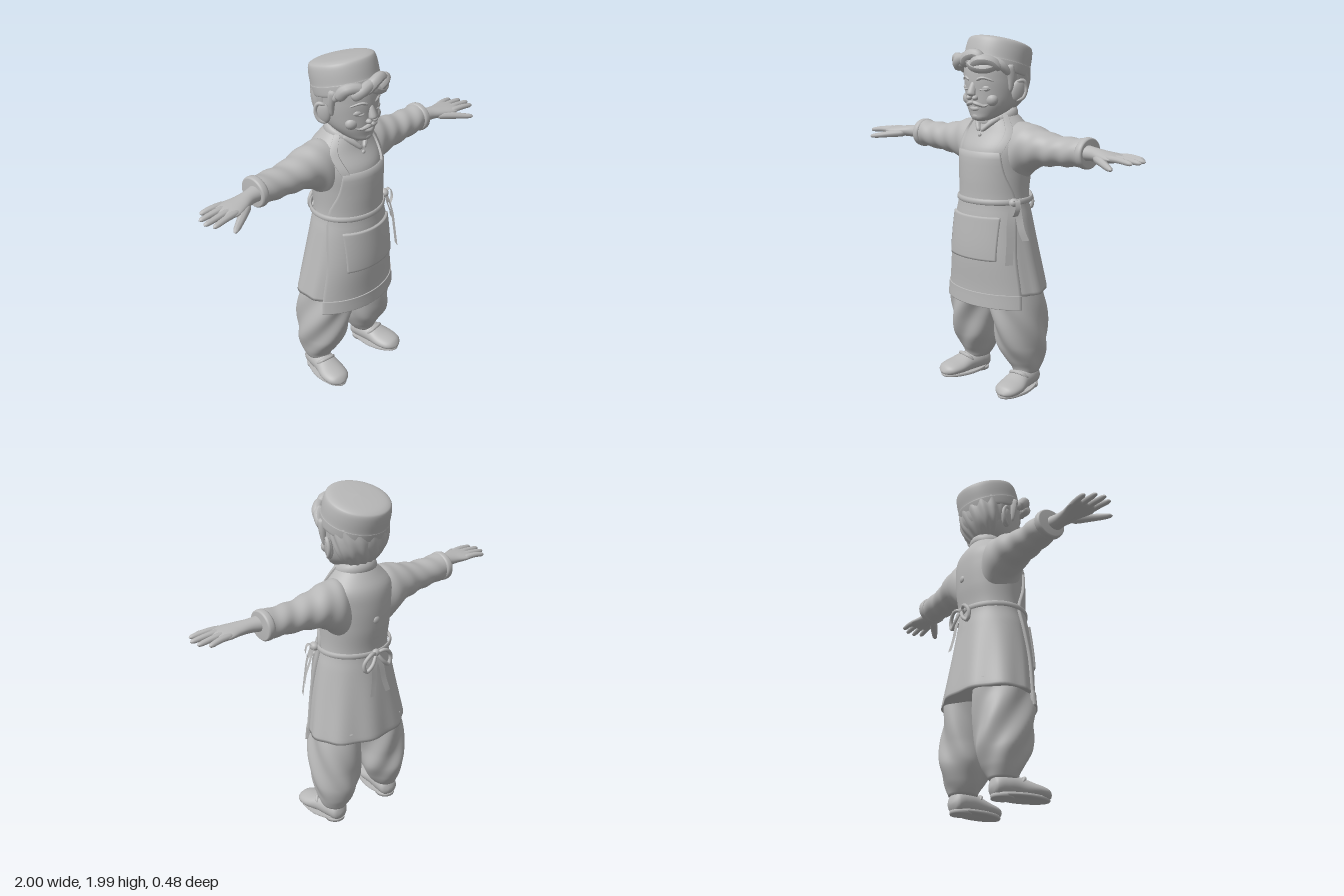
import * as THREE from 'three';

const clay = new THREE.MeshStandardMaterial({ color: 0xb8b8b8, side: THREE.DoubleSide });
clay.name = 'clay grey';
const V = (x, y, z) => new THREE.Vector3(x, y, z);

// Smooth interpolation of section rows [t, c1, c2, r1, r2] at t
function sample(rows, t) {
  let i = 0;
  while (i < rows.length - 2 && t > rows[i + 1][0]) i++;
  const a = rows[i], b = rows[i + 1], h = b[0] - a[0], s = (t - a[0]) / h;
  const p = rows[i - 1] || a, q = rows[i + 2] || b;
  return a.map((v, k) => {
    const m0 = (b[k] - p[k]) / (b[0] - p[0]) * h, m1 = (q[k] - v) / (q[0] - a[0]) * h;
    return (1 + 2 * s) * (1 - s) ** 2 * v + s * (1 - s) ** 2 * m0 + s * s * (3 - 2 * s) * b[k] + s * s * (s - 1) * m1;
  });
}

// Indexed grid surface from a point function f(i, j)
function grid(n, m, f, wrap = false) {
  const pos = [], idx = [], w = wrap ? m : m + 1;
  for (let i = 0; i <= n; i++) for (let j = 0; j < w; j++) pos.push(...f(i, j).toArray());
  for (let i = 0; i < n; i++) for (let j = 0; j < m; j++) {
    const a = i * w + j, b = i * w + (j + 1) % w;
    idx.push(a, b, a + w, b, b + w, a + w);
  }
  const g = new THREE.BufferGeometry();
  g.setAttribute('position', new THREE.Float32BufferAttribute(pos, 3));
  g.setIndex(idx);
  g.computeVertexNormals();
  return g;
}

const place = { y: (u, t, v) => V(u, t, v), x: (u, t, v) => V(t, v, u), z: (u, t, v) => V(v, u, t) };

// Closed loft of elliptical sections along an axis, with optional surface ripple
function loft(rows, axis = 'y', bump = () => 0, n = 40, seg = 48) {
  const t0 = rows[0][0], t1 = rows[rows.length - 1][0];
  return grid(n + 2, seg, (i, j) => {
    const t = t0 + (t1 - t0) * Math.min(n, Math.max(0, i - 1)) / n, a = j / seg * Math.PI * 2;
    const [, c1, c2, r1, r2] = sample(rows, t);
    const k = i === 0 || i === n + 2 ? 0 : 1, b = bump(a, t);
    return place[axis](c1 + k * (r1 + b) * Math.sin(a), t, c2 + k * (r2 + b) * Math.cos(a));
  }, true);
}

// Rounded tapering strand through points
function strand(pts, r0, r1, flat = 1) {
  const c = new THREE.CatmullRomCurve3(pts.map(p => V(...p))), n = 20, m = 10;
  const g = new THREE.TubeGeometry(c, n, 1, m), p = g.attributes.position, v = V(0, 0, 0);
  for (let i = 0; i <= n; i++) {
    const t = i / n, o = c.getPointAt(t), r = (r0 + (r1 - r0) * t) * Math.sqrt(Math.max(0, 1 - Math.abs(2 * t - 1) ** 7));
    for (let j = 0; j <= m; j++) {
      v.fromBufferAttribute(p, i * (m + 1) + j).sub(o).multiplyScalar(r);
      v.y *= flat;
      v.add(o);
      p.setXYZ(i * (m + 1) + j, v.x, v.y, v.z);
    }
  }
  g.computeVertexNormals();
  return g;
}

// Flat ribbon through points, widened along one direction
function ribbon(pts, dir, w) {
  const c = new THREE.CatmullRomCurve3(pts.map(p => V(...p))), d = V(...dir).normalize();
  return grid(18, 1, (i, j) => c.getPointAt(i / 18).addScaledVector(d, (j - 0.5) * w));
}

const ball = (x, y, z, rx, ry, rz) => new THREE.SphereGeometry(1, 20, 14).scale(rx, ry, rz).translate(x, y, z);

const torso = [
  [0.50, 0, -0.02, 0.315, 0.222], [0.60, 0, -0.02, 0.302, 0.22], [0.80, 0, 0, 0.262, 0.21],
  [1.00, 0, 0.01, 0.222, 0.188], [1.10, 0, 0.01, 0.2, 0.176], [1.25, 0, 0, 0.203, 0.186],
  [1.38, 0, -0.008, 0.212, 0.182], [1.47, 0, -0.028, 0.2, 0.148], [1.54, 0, -0.02, 0.135, 0.112],
  [1.58, 0, -0.015, 0.09, 0.088]];

// Point on the tunic surface pushed out by off
function onBody(y, a, off) {
  const [, cx, cz, rx, rz] = sample(torso, y);
  return V(cx + (rx + off) * Math.sin(a), y, cz + (rz + off) * Math.cos(a));
}

// Cloth panel lying on the tunic, with its rim tucked in
function panel(y0, y1, left, right, off, tuck) {
  const n = 24, m = 32;
  return grid(n + 2, m + 2, (i, j) => {
    const s = Math.min(n, Math.max(0, i - 1)) / n, u = Math.min(m, Math.max(0, j - 1)) / m;
    const y = y0 + (y1 - y0) * s, l = left(y), r = right(y);
    const rim = i === 0 || j === 0 || i === n + 2 || j === m + 2;
    return onBody(y, l + (r - l) * u, rim ? tuck : off);
  });
}

export function createModel() {
  const root = new THREE.Group();
  root.name = 'cook';
  const add = (name, g) => {
    const m = new THREE.Mesh(g, clay);
    m.name = name;
    root.add(m);
  };
  const pair = (name, g) => {
    add(name + 'Left', g);
    const f = g.clone().scale(-1, 1, 1), ix = f.index.array;
    for (let i = 0; i < ix.length; i += 3) [ix[i], ix[i + 1]] = [ix[i + 1], ix[i]];
    add(name + 'Right', f);
  };

  // Tunic with soft skirt folds
  const skirt = (a, y) => y < 1.05 ? 0.007 * (1.05 - y) / 0.5 * Math.sin(9 * a) * (Math.cos(a) < 0.3 ? 1 : 0.2) : 0;
  add('tunic', loft([[0.58, 0, -0.02, 0.305, 0.22], ...torso.slice(1)], 'y', skirt, 60, 72));
  add('backButton', ball(0, 1.3, -0.186, 0.022, 0.022, 0.012));

  // Apron, hem, pocket and straps
  const edge = [[0.5, 1.05], [0.8, 1.12], [1.08, 1.3], [1.14, 1.25], [1.25, 0.95], [1.38, 0.76]];
  const wide = y => sample(edge, y)[1];
  add('apron', panel(0.51, 1.37, y => -wide(y), wide, 0.014, -0.006));
  add('apronHem', panel(0.51, 0.59, y => -wide(y), wide, 0.019, 0.004));
  const pocketEdge = y => Math.asin(0.16 / sample(torso, y)[3]);
  add('pocket', panel(0.78, 1.02, y => -pocketEdge(y), pocketEdge, 0.026, 0.01));
  pair('strap', panel(1.35, 1.565, y => 0.56 + (y - 1.35) * 1.6, y => 0.78 + (y - 1.35) * 1.8, 0.012, -0.004));

  // Waist tie with side and back bows
  add('waistTie', grid(8, 64, (i, j) => {
    const b = i / 8 * Math.PI * 2;
    return onBody(1.1 + 0.016 * Math.sin(b), j / 64 * Math.PI * 2, 0.016 - 0.008 * Math.cos(b));
  }, true));
  add('sideKnot', ball(0.215, 1.1, 0.09, 0.025, 0.025, 0.03));
  add('sideTailLong', ribbon([[0.225, 1.1, 0.1], [0.235, 1.0, 0.135], [0.245, 0.88, 0.15], [0.25, 0.77, 0.165]], [0.5, 0, -1], 0.045));
  add('sideTailShort', ribbon([[0.23, 1.1, 0.08], [0.25, 1.02, 0.085], [0.275, 0.95, 0.09], [0.295, 0.9, 0.08]], [0.5, 0, -1], 0.04));
  add('sideLoop', ribbon([[0.22, 1.1, 0.09], [0.25, 1.12, 0.1], [0.262, 1.07, 0.11], [0.24, 1.03, 0.11], [0.22, 1.09, 0.1]], [0.4, 0, -1], 0.03));
  add('backKnot', ball(0, 1.1, -0.185, 0.025, 0.022, 0.02));
  pair('backLoop', strand([[0, 1.1, -0.19], [0.05, 1.11, -0.205], [0.095, 1.06, -0.2], [0.08, 1.01, -0.2], [0.04, 1.04, -0.205], [0, 1.1, -0.19]], 0.011, 0.011));
  pair('backTail', ribbon([[0, 1.1, -0.19], [0.025, 1.02, -0.205], [0.035, 0.94, -0.215], [0.055, 0.86, -0.228]], [1, 0, 0], 0.035));

  // Sleeves, cuffs, hands
  pair('sleeve', loft([
    [0.10, -0.02, 1.34, 0.12, 0.165], [0.17, -0.03, 1.362, 0.125, 0.165], [0.23, -0.035, 1.388, 0.118, 0.13],
    [0.30, -0.035, 1.395, 0.108, 0.104], [0.42, -0.03, 1.392, 0.092, 0.082], [0.62, -0.028, 1.4, 0.082, 0.075]],
    'x', (a, x) => 0.003 * Math.sin(2 * a + x * 55)));
  pair('cuff', loft([[0.595, -0.028, 1.4, 0.08, 0.074], [0.605, -0.028, 1.4, 0.089, 0.082],
    [0.632, -0.028, 1.4, 0.088, 0.081], [0.64, -0.028, 1.4, 0.08, 0.073]], 'x', undefined, 12));
  pair('palm', loft([[0.60, -0.012, 1.405, 0.055, 0.045], [0.68, 0, 1.405, 0.044, 0.036], [0.75, 0.014, 1.403, 0.058, 0.031],
    [0.82, 0.018, 1.402, 0.076, 0.024], [0.865, 0.018, 1.402, 0.07, 0.016], [0.885, 0.018, 1.402, 0.05, 0.008]], 'x'));
  [[0.95, -0.055], [0.99, -0.008], [1.0, 0.043], [0.98, 0.09]].forEach(([x, z], i) => {
    const z0 = -0.034 + i * 0.034;
    pair('finger' + (i + 1), strand([[0.8, 1.403, z0], [0.88, 1.406, (z0 + z) / 2], [x, 1.396, z]], 0.021, 0.015, 0.85));
  });
  pair('thumb', strand([[0.72, 1.395, 0.03], [0.8, 1.385, 0.09], [0.86, 1.375, 0.13], [0.91, 1.368, 0.163]], 0.03, 0.015, 0.85));

  // Baggy trousers with diagonal folds
  pair('trouserLeg', loft([
    [0.10, 0.195, -0.045, 0.07, 0.08], [0.13, 0.19, -0.048, 0.088, 0.09], [0.17, 0.185, -0.045, 0.105, 0.112],
    [0.26, 0.175, -0.035, 0.133, 0.15], [0.38, 0.17, -0.02, 0.14, 0.166], [0.5, 0.155, -0.012, 0.143, 0.174],
    [0.64, 0.13, -0.01, 0.14, 0.18]],
    'y', (a, y) => 0.009 * Math.sin(5 * a + y * 20) * Math.min(1, (y - 0.1) * 6), 50, 64));

  // Shoes with soles and heels, toes turned out
  const turn = g => g.rotateY(0.14).translate(0.205, 0, 0);
  pair('shoe', turn(loft([
    [-0.122, 0.055, 0, 0.015, 0.02], [-0.108, 0.06, 0, 0.05, 0.05], [-0.05, 0.067, 0, 0.062, 0.064], [0.03, 0.064, 0, 0.058, 0.068],
    [0.11, 0.052, 0.004, 0.044, 0.079], [0.17, 0.046, 0.004, 0.036, 0.07], [0.2, 0.042, 0.004, 0.026, 0.048], [0.215, 0.036, 0.004, 0.008, 0.018]], 'z')));
  pair('sole', turn(loft([[0.008, 0, 0.046, 0.076, 0.162], [0.014, 0, 0.046, 0.082, 0.168], [0.026, 0, 0.046, 0.08, 0.166]], 'y',
    a => -0.01 * Math.max(0, -Math.cos(a)), 6)));
  pair('heel', turn(loft([[0, 0, -0.055, 0.058, 0.06], [0.02, 0, -0.055, 0.06, 0.062]], 'y', undefined, 2)));
  pair('shoeTongue', turn(strand([[-0.062, 0.085, 0.03], [-0.035, 0.112, 0.055], [0.035, 0.112, 0.055], [0.062, 0.085, 0.03]], 0.01, 0.01)));

  // Neck and collar
  add('neck', loft([[1.48, 0, -0.01, 0.09, 0.09], [1.56, 0, 0, 0.078, 0.08], [1.64, 0, 0.01, 0.085, 0.09]]));
  add('collar', new THREE.TorusGeometry(0.094, 0.024, 12, 48).rotateX(Math.PI / 2).scale(1, 1.5, 1).rotateX(0.35).translate(0, 1.55, -0.008));
  pair('collarTip', strand([[0.08, 1.55, 0.05], [0.05, 1.52, 0.095], [0.008, 1.475, 0.13]], 0.02, 0.012));
  add('collarButton', ball(0, 1.455, 0.132, 0.011, 0.011, 0.009));

  // Head and ears
  add('head', loft([
    [1.533, 0, 0.115, 0.03, 0.035], [1.545, 0, 0.1, 0.062, 0.068], [1.57, 0, 0.073, 0.094, 0.098], [1.62, 0, 0.035, 0.132, 0.145],
    [1.69, 0, 0.01, 0.154, 0.174], [1.76, 0, 0.005, 0.162, 0.183], [1.84, 0, 0, 0.165, 0.178], [1.9, 0, -0.01, 0.14, 0.15]]));
  pair('ear', ball(0, 0, 0, 0.02, 0.062, 0.04).rotateY(-0.35).rotateZ(-0.12).translate(0.168, 1.695, 0.005));
  pair('earRim', strand([[0.165, 1.64, 0.02], [0.185, 1.66, -0.015], [0.193, 1.71, -0.03], [0.19, 1.75, -0.01], [0.172, 1.745, 0.025]], 0.011, 0.011));

  // Face
  add('nose', strand([[0, 1.745, 0.172], [0, 1.7, 0.19], [0, 1.668, 0.2]], 0.015, 0.026));
  pair('nostril', ball(0.022, 1.66, 0.188, 0.016, 0.014, 0.018));
  pair('eye', ball(0.062, 1.712, 0.149, 0.034, 0.021, 0.024));
  pair('eyelid', strand([[0.03, 1.708, 0.172], [0.062, 1.702, 0.173], [0.098, 1.71, 0.148]], 0.005, 0.005));
  pair('brow', strand([[0.022, 1.752, 0.18], [0.06, 1.767, 0.171], [0.112, 1.75, 0.135]], 0.013, 0.007, 0.8));
  pair('cheek', ball(0.082, 1.65, 0.125, 0.042, 0.036, 0.033));
  pair('moustache', strand([[0, 1.636, 0.184], [0.03, 1.628, 0.18], [0.062, 1.618, 0.16], [0.088, 1.632, 0.137]], 0.014, 0.005));
  add('lowerLip', strand([[-0.04, 1.606, 0.155], [0, 1.6, 0.176], [0.04, 1.606, 0.155]], 0.012, 0.012));
  add('chin', ball(0, 1.56, 0.143, 0.038, 0.024, 0.03));

  // Hair at the back, sides and forehead
  add('backHair', loft([
    [1.575, 0, -0.035, 0.06, 0.045], [1.61, 0, -0.04, 0.105, 0.075], [1.67, 0, -0.05, 0.147, 0.105],
    [1.74, 0, -0.045, 0.166, 0.132], [1.82, 0, -0.03, 0.172, 0.15]], 'y', (a, y) => 0.004 * Math.sin(14 * a + y * 30), 30, 96));
  pair('sideburn', strand([[0.158, 1.84, 0.07], [0.165, 1.77, 0.06], [0.157, 1.69, 0.055]], 0.03, 0.01));
  pair('templeHair', strand([[0.1, 1.86, 0.15], [0.15, 1.835, 0.12], [0.168, 1.785, 0.075]], 0.03, 0.018));
  const curls = [
    [[-0.16, 1.8, 0.1], [-0.15, 1.86, 0.15], [-0.09, 1.86, 0.19], [-0.05, 1.82, 0.2]],
    [[-0.12, 1.81, 0.16], [-0.09, 1.85, 0.2], [-0.03, 1.87, 0.205], [0.02, 1.84, 0.2]],
    [[-0.06, 1.83, 0.19], [-0.01, 1.88, 0.21], [0.05, 1.89, 0.2], [0.085, 1.85, 0.19]],
    [[0.01, 1.82, 0.19], [0.06, 1.86, 0.205], [0.12, 1.855, 0.165], [0.15, 1.81, 0.12]],
    [[-0.02, 1.86, 0.19], [0.03, 1.83, 0.2], [0.09, 1.82, 0.18], [0.14, 1.84, 0.13]]];
  curls.forEach((c, i) => add('foreheadCurl' + (i + 1), strand(c, 0.034, 0.026)));

  // Round cap tilted back
  const cap = [[0, 0], [0.176, 0], [0.186, 0.006], [0.189, 0.05], [0.187, 0.06], [0.186, 0.11], [0.18, 0.15], [0.165, 0.166], [0.12, 0.175], [0, 0.18]];
  const spline = new THREE.SplineCurve(cap.slice(1).map(p => new THREE.Vector2(...p)));
  add('cap', new THREE.LatheGeometry([new THREE.Vector2(0, 0), ...spline.getPoints(32)], 56)
    .scale(0.97, 1, 1).rotateX(-0.27).translate(0, 1.785, 0.008));
  return root;
}
